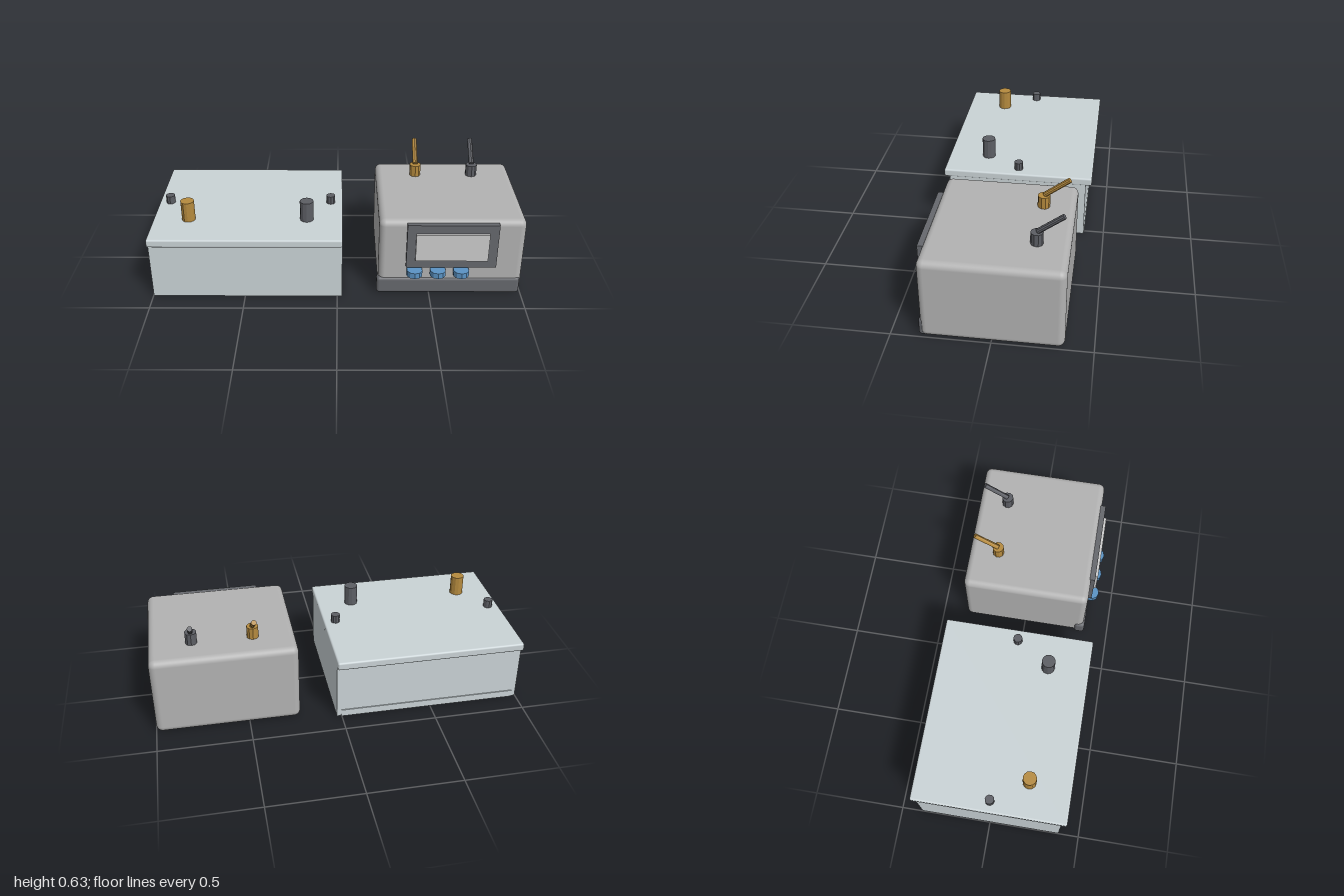
import * as THREE from 'three';
import { RoundedBoxGeometry } from 'three/addons/geometries/RoundedBoxGeometry.js';

const paint = (color, flatShading = false) => new THREE.MeshStandardMaterial({ color, flatShading });

export function createModel() {
  const model = new THREE.Group();
  const pale = paint(0xcad3d6), shell = paint(0xb2b2b2), dark = paint(0x66686d);
  const darkFlat = paint(0x5c5e64, true), gold = paint(0xb58a3e, true);
  const blue = paint(0x5b93c4, true), glass = paint(0xd9dadd);

  const add = (parent, name, geometry, material, x = 0, y = 0, z = 0) => {
    const mesh = new THREE.Mesh(geometry, material);
    mesh.name = name;
    mesh.position.set(x, y, z);
    parent.add(mesh);
    return mesh;
  };
  // Box given by its extents along each axis, with optional rounded edges
  const box = (parent, name, material, [x0, x1], [y0, y1], [z0, z1], r = 0) => {
    const size = [x1 - x0, y1 - y0, z1 - z0];
    const geometry = r ? new RoundedBoxGeometry(...size, 4, r) : new THREE.BoxGeometry(...size);
    return add(parent, name, geometry, material, (x0 + x1) / 2, (y0 + y1) / 2, (z0 + z1) / 2);
  };
  // Upright faceted post
  const post = (parent, name, material, r, x, z, y0, y1, sides = 10) =>
    add(parent, name, new THREE.CylinderGeometry(r, r, y1 - y0, sides), material, x, (y0 + y1) / 2, z);

  // Storage box with an overhanging lid and terminals
  const battery = new THREE.Group();
  battery.name = 'batteryBox';
  model.add(battery);
  box(battery, 'boxBody', pale, [-0.998, 0.027], [0, 0.33], [-0.385, 0.387]);
  box(battery, 'boxLid', pale, [-1, 0.028], [0.325, 0.37], [-0.418, 0.418], 0.01);
  box(battery, 'rearLip', pale, [-0.975, 0.003], [0, 0.04], [-0.39, -0.38]);
  post(battery, 'positiveTerminal', gold, 0.037, -0.807, 0.19, 0.36, 0.482, 12);
  post(battery, 'negativeTerminal', darkFlat, 0.037, -0.165, 0.19, 0.36, 0.482, 12);
  for (const x of [-0.937, -0.037]) post(battery, 'ventCap', darkFlat, 0.025, x, 0, 0.36, 0.415);

  // Control unit
  const unit = new THREE.Group();
  unit.name = 'controlUnit';
  model.add(unit);
  box(unit, 'unitBody', shell, [0.222, 0.998], [0, 0.45], [-0.357, 0.352], 0.035);
  box(unit, 'frontBumper', dark, [0.213, 0.99], [0.002, 0.1], [0.3, 0.36], 0.018);
  box(unit, 'displayFrame', dark, [0.368, 0.85], [0.178, 0.437], [0.345, 0.375]);
  box(unit, 'screen', glass, [0.415, 0.8], [0.228, 0.388], [0.37, 0.39]);
  for (const x of [0.415, 0.54, 0.665]) post(unit, 'button', blue, 0.043, x, 0.372, 0.13, 0.163);

  // Toggle switches leaning to the rear
  const start = new THREE.Vector3(0, 0.518, -0.195);
  const end = new THREE.Vector3(0, 0.614, -0.322);
  const lean = end.clone().sub(start);
  for (const [x, material] of [[0.447, gold], [0.77, darkFlat]]) {
    const toggle = new THREE.Group();
    toggle.name = 'toggleSwitch';
    toggle.position.x = x;
    unit.add(toggle);
    post(toggle, 'switchBase', material, 0.032, 0, -0.193, 0.44, 0.515);
    const lever = add(toggle, 'switchLever',
      new THREE.CylinderGeometry(0.014, 0.014, lean.length(), 10), material);
    lever.position.copy(start).add(end).multiplyScalar(0.5);
    lever.quaternion.setFromUnitVectors(new THREE.Vector3(0, 1, 0), lean.clone().normalize());
  }
  return model;
}
